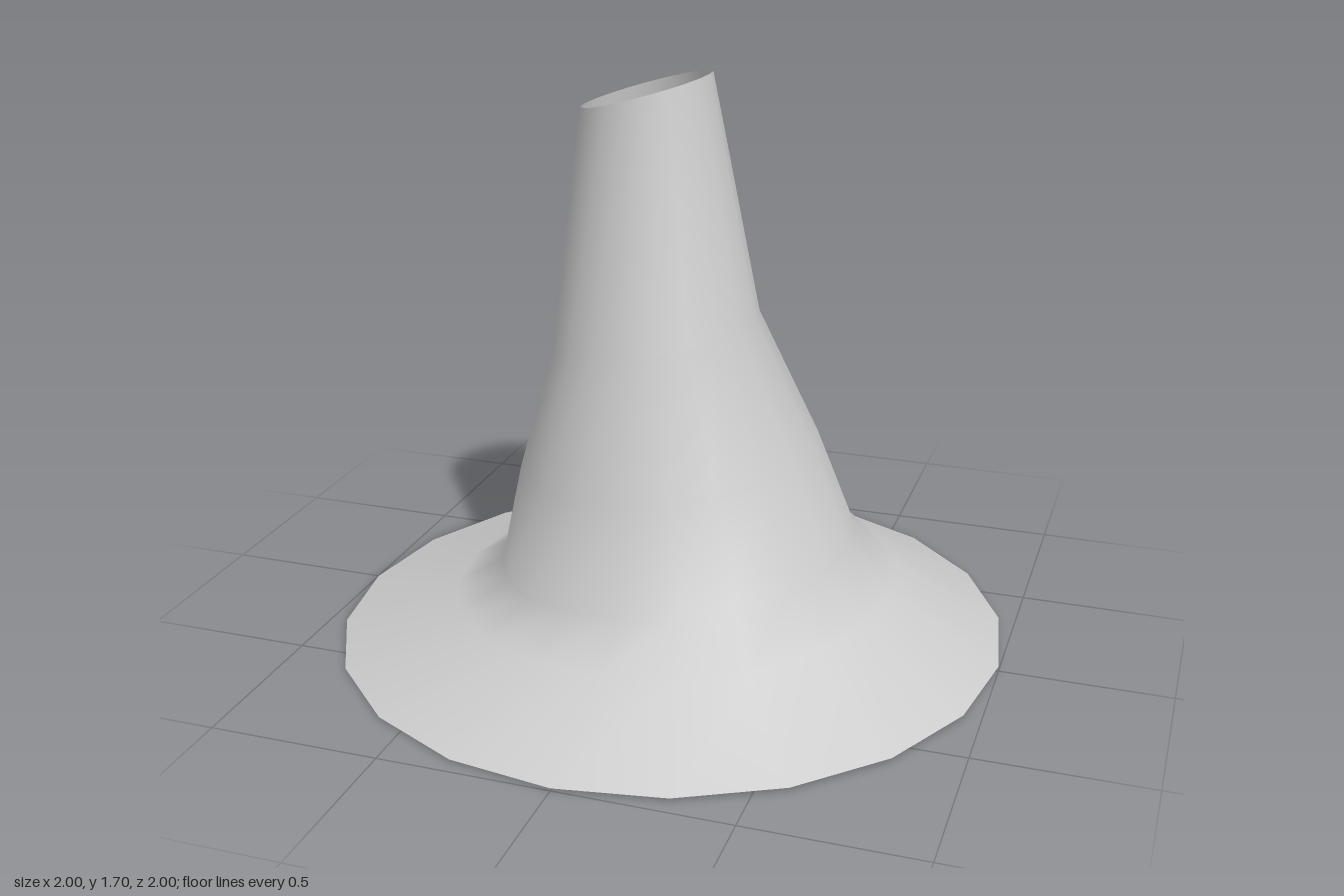
import * as THREE from 'three';

const SIDES = 20;

// Tilted elliptical rings: [left x, left y, right x, right y, half depth]
const RINGS = [
  [-1.0, 0.0, 1.0, 0.015, 1.0],
  [-0.65, 0.13, 0.68, 0.195, 0.67],
  [-0.51, 0.215, 0.55, 0.33, 0.54],
  [-0.45, 0.51, 0.43, 0.63, 0.45],
  [-0.35, 0.88, 0.25, 1.0, 0.31],
  [-0.26, 1.59, 0.11, 1.695, 0.195],
];

// Open skin joining the rings, with shared vertices for smooth shading
function loftRings(rings) {
  const positions = [];
  const indices = [];
  rings.forEach(([x0, y0, x1, y1, depth], r) => {
    for (let i = 0; i < SIDES; i++) {
      const a = (i / SIDES) * Math.PI * 2;
      const t = (1 + Math.cos(a)) / 2;
      positions.push(x0 + (x1 - x0) * t, y0 + (y1 - y0) * t, depth * Math.sin(a));
      if (r === 0) continue;
      const next = (i + 1) % SIDES;
      const a0 = (r - 1) * SIDES + i, b0 = (r - 1) * SIDES + next;
      const a1 = r * SIDES + i, b1 = r * SIDES + next;
      indices.push(a0, a1, b0, b0, a1, b1);
    }
  });
  const geometry = new THREE.BufferGeometry();
  geometry.setAttribute('position', new THREE.Float32BufferAttribute(positions, 3));
  geometry.setIndex(indices);
  geometry.computeVertexNormals();
  return geometry;
}

export function createModel() {
  const group = new THREE.Group();
  group.name = 'flaredFunnel';

  // Leaning tube flaring into a wide brim, open at both ends
  const shell = new THREE.Mesh(
    loftRings(RINGS),
    new THREE.MeshStandardMaterial({ color: 0xcccccc, side: THREE.DoubleSide })
  );
  shell.name = 'flaredShell';
  group.add(shell);
  return group;
}
